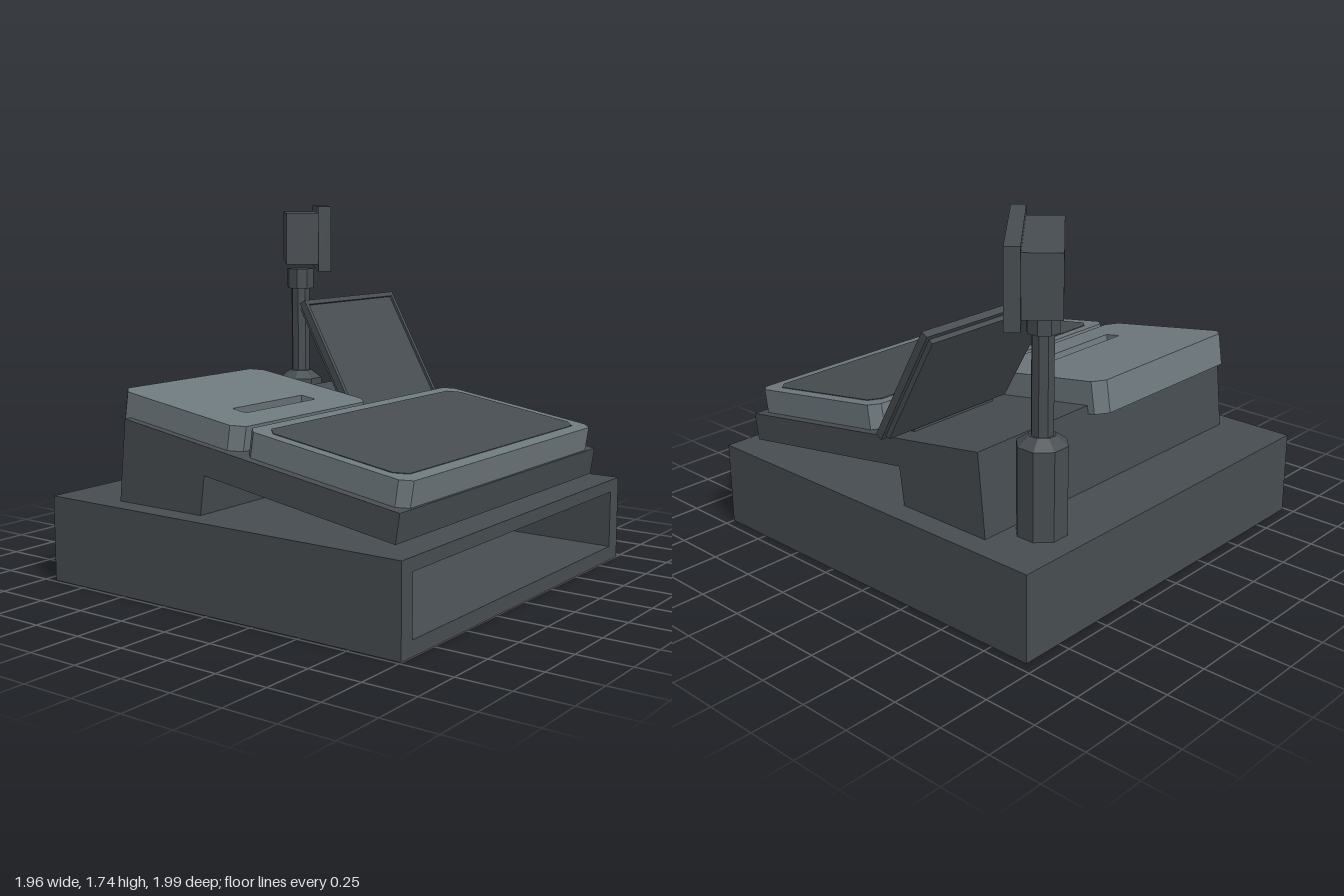
import * as THREE from 'three';

const dark = new THREE.MeshStandardMaterial({ color: 0x474d51 });
dark.name = 'charcoal';
const light = new THREE.MeshStandardMaterial({ color: 0x6f7a7f });
light.name = 'slate grey';
dark.flatShading = light.flatShading = true;

function add(parent, name, geometry, material, x = 0, y = 0, z = 0) {
  const mesh = new THREE.Mesh(geometry, material);
  mesh.name = name;
  mesh.position.set(x, y, z);
  parent.add(mesh);
  return mesh;
}

const box = (w, h, d) => new THREE.BoxGeometry(w, h, d);

// Rectangle with cut corners, centred on (cx, cy)
function cutRect(w, h, cut = 0, cx = 0, cy = 0, Type = THREE.Shape) {
  const a = w / 2, b = h / 2;
  const pts = cut
    ? [[a - cut, -b], [a, cut - b], [a, b - cut], [a - cut, b], [cut - a, b], [-a, b - cut], [-a, cut - b], [cut - a, -b]]
    : [[a, -b], [a, b], [-a, b], [-a, -b]];
  return new Type(pts.map(([x, y]) => new THREE.Vector2(x + cx, y + cy)));
}

const extrude = (shape, depth) => new THREE.ExtrudeGeometry(shape, { depth, bevelEnabled: false });
// Extrusion laid flat, rising along y
const slab = (shape, height) => extrude(shape, height).rotateX(-Math.PI / 2);

export function createModel() {
  const model = new THREE.Group();
  model.name = 'cashRegister';

  // Cash drawer housing with a deep opening in front
  const drawer = cutRect(1.94, 0.405, 0, -0.015, 0.2025);
  drawer.holes.push(cutRect(1.775, 0.275, 0, -0.0175, 0.2075, THREE.Path));
  add(model, 'drawerHousing', extrude(drawer, 1.75), dark, 0, 0, -0.75);
  add(model, 'drawerBack', box(1.94, 0.405, 0.195), dark, -0.015, 0.2025, -0.8475);

  // Sloping body: side profile of (z, y) points swept across x
  const profile = [[0.92, 0.56], [0.9, 0.43], [-0.1, 0.585], [-0.125, 0.405], [-0.615, 0.405], [-0.575, 0.79]];
  const side = new THREE.Shape(profile.map(([z, y]) => new THREE.Vector2(-z, y)));
  add(model, 'body', extrude(side, 1.725).rotateY(Math.PI / 2), dark, -0.88);

  // Everything resting on the sloping top
  const slope = new THREE.Group();
  slope.name = 'slopingTop';
  slope.position.set(0, 0.56, 0.92);
  slope.rotation.x = 0.153;
  model.add(slope);

  add(slope, 'keyboardTray', slab(cutRect(1.64, 0.84, 0.045), 0.115), light, -0.015, 0, -0.43);
  add(slope, 'keyPanel', slab(cutRect(1.53, 0.72, 0.05), 0.004), dark, -0.015, 0.114, -0.432);

  const printer = cutRect(0.975, 0.715, 0.05);
  printer.holes.push(cutRect(0.51, 0.08, 0, -0.005, -0.165, THREE.Path));
  add(slope, 'printerCover', slab(printer, 0.153), light, -0.3525, -0.04, -1.24);
  add(slope, 'paperSlotFloor', box(0.51, 0.1, 0.08), dark, -0.3575, 0.02, -1.075);
  add(slope, 'screenFoot', box(0.5, 0.05, 0.13), dark, 0.49, 0.02, -0.96);

  // Tilted operator screen with a thin raised rim
  const screen = new THREE.Group();
  screen.name = 'operatorScreen';
  screen.position.set(0.5275, 0.9925, -0.21);
  screen.rotation.x = -0.51;
  model.add(screen);
  const rim = cutRect(0.775, 0.612);
  rim.holes.push(cutRect(0.73, 0.565, 0, 0, 0, THREE.Path));
  add(screen, 'screenRim', extrude(rim, 0.012), dark, 0, 0, 0.018);
  add(screen, 'screenPanel', box(0.775, 0.612, 0.024), dark, 0, 0, 0.006);
  add(screen, 'screenBack', box(0.735, 0.572, 0.024), dark, 0, 0, -0.018);

  // Eight-sided pole: base, stem and collar in one stepped profile
  const steps = [[0, 0.405], [0.115, 0.405], [0.115, 0.81], [0.06, 0.85], [0.05, 0.85], [0.05, 1.295],
    [0.072, 1.295], [0.072, 1.4], [0, 1.4]];
  const pole = new THREE.LatheGeometry(steps.map(([r, y]) => new THREE.Vector2(r, y)), 8, Math.PI / 8);
  add(model, 'displayPole', pole, dark, 0.625, 0, -0.735);

  // Customer display turned aside on top of the pole
  const display = new THREE.Group();
  display.name = 'customerDisplay';
  display.position.set(0.625, 1.5675, -0.735);
  display.rotation.y = 0.698;
  model.add(display);
  add(display, 'displayFront', box(0.684, 0.335, 0.065), dark, 0, 0, 0.112);
  add(display, 'displayCase', box(0.6, 0.265, 0.165), dark, 0, 0, 0);

  return model;
}
